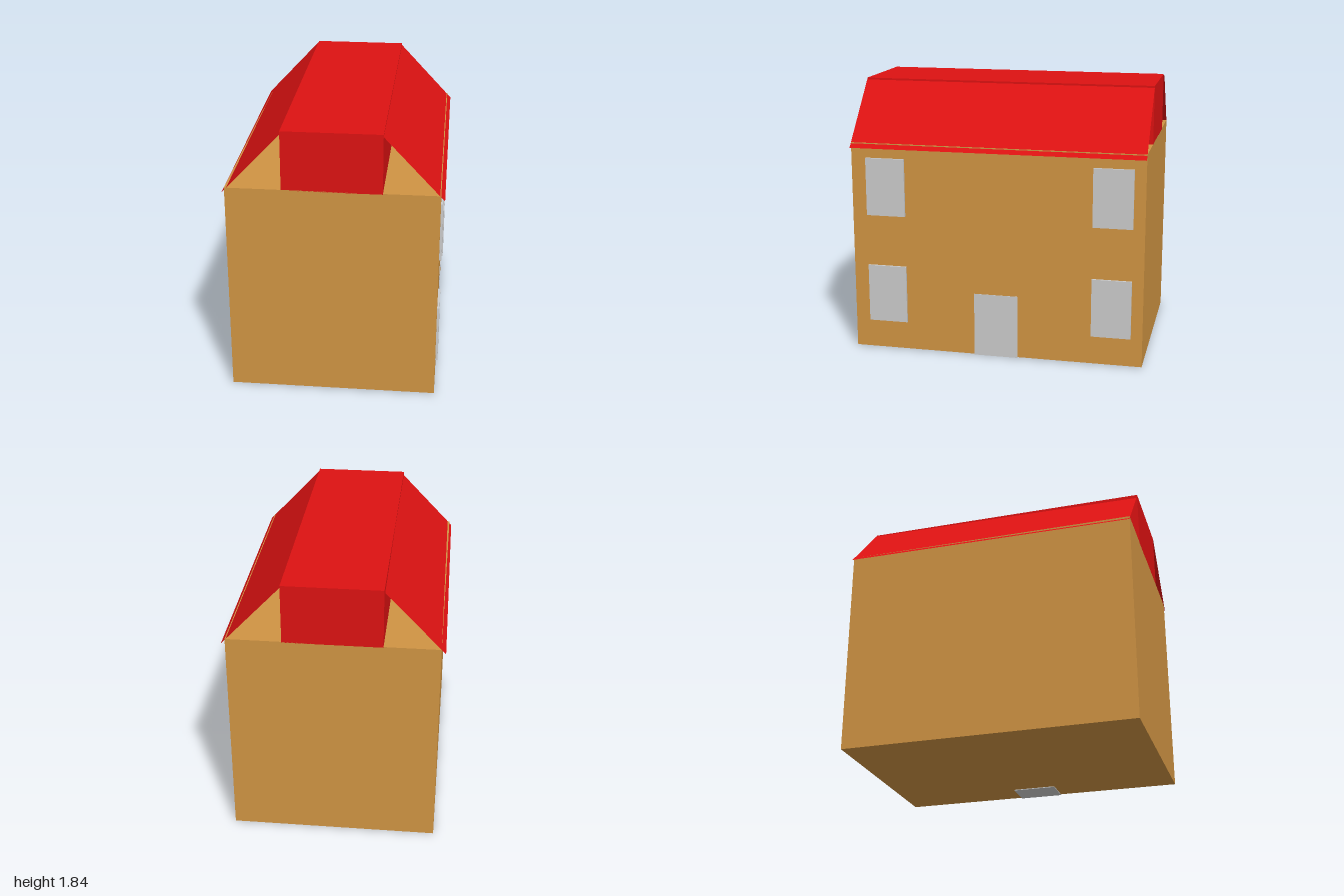
import * as THREE from 'three';

const wallMat = new THREE.MeshStandardMaterial({ color: 0xd09443 });
const greyMat = new THREE.MeshStandardMaterial({ color: 0xcccccc });
const roofMat = new THREE.MeshStandardMaterial({ color: 0xdd1212 });
const slopeMat = new THREE.MeshStandardMaterial({ color: 0xdd1212, side: THREE.DoubleSide });

// Box given by its lower and upper corners
function box(name, material, [x0, y0, z0], [x1, y1, z1]) {
  const mesh = new THREE.Mesh(new THREE.BoxGeometry(x1 - x0, y1 - y0, z1 - z0), material);
  mesh.position.set((x0 + x1) / 2, (y0 + y1) / 2, (z0 + z1) / 2);
  mesh.name = name;
  return mesh;
}

// Thin sheet through four corners, in counter-clockwise order seen from outside
function sheet(name, a, b, c, d) {
  const geometry = new THREE.BufferGeometry();
  geometry.setAttribute('position', new THREE.Float32BufferAttribute([...a, ...b, ...c, ...d], 3));
  geometry.setIndex([0, 1, 2, 0, 2, 3]);
  geometry.computeVertexNormals();
  const mesh = new THREE.Mesh(geometry, slopeMat);
  mesh.name = name;
  return mesh;
}

export function createModel() {
  const house = new THREE.Group();
  house.name = 'house';

  // Main block and the box under the ridge
  house.add(box('walls', wallMat, [-0.68, 0.005, -0.995], [0.68, 1.445, 0.995]));
  house.add(box('roofCore', roofMat, [-0.32, 1.44, -0.995], [0.32, 1.835, 0.995]));

  // Sloping roof sheets; the one on the -x side sits slightly askew
  house.add(sheet('leftRoofSlope',
    [0.705, 1.412, 0.997], [0.705, 1.412, -0.995], [0.32, 1.822, -0.995], [0.32, 1.822, 0.997]));
  house.add(sheet('rightRoofSlope',
    [-0.708, 1.415, -0.994], [-0.695, 1.415, 0.996], [-0.315, 1.816, 0.99], [-0.325, 1.825, -1]));

  // Door block set into the wall
  house.add(box('door', greyMat, [0.48, 0, -0.15], [0.683, 0.437, 0.15]));

  // Two rows of two windows
  for (const [y0, y1] of [[0.2, 0.597], [0.95, 1.345]]) {
    for (const [z0, z1] of [[0.625, 0.893], [-0.918, -0.652]]) {
      house.add(box('window', greyMat, [0.66, y0, z0], [0.695, y1, z1]));
    }
  }
  return house;
}
